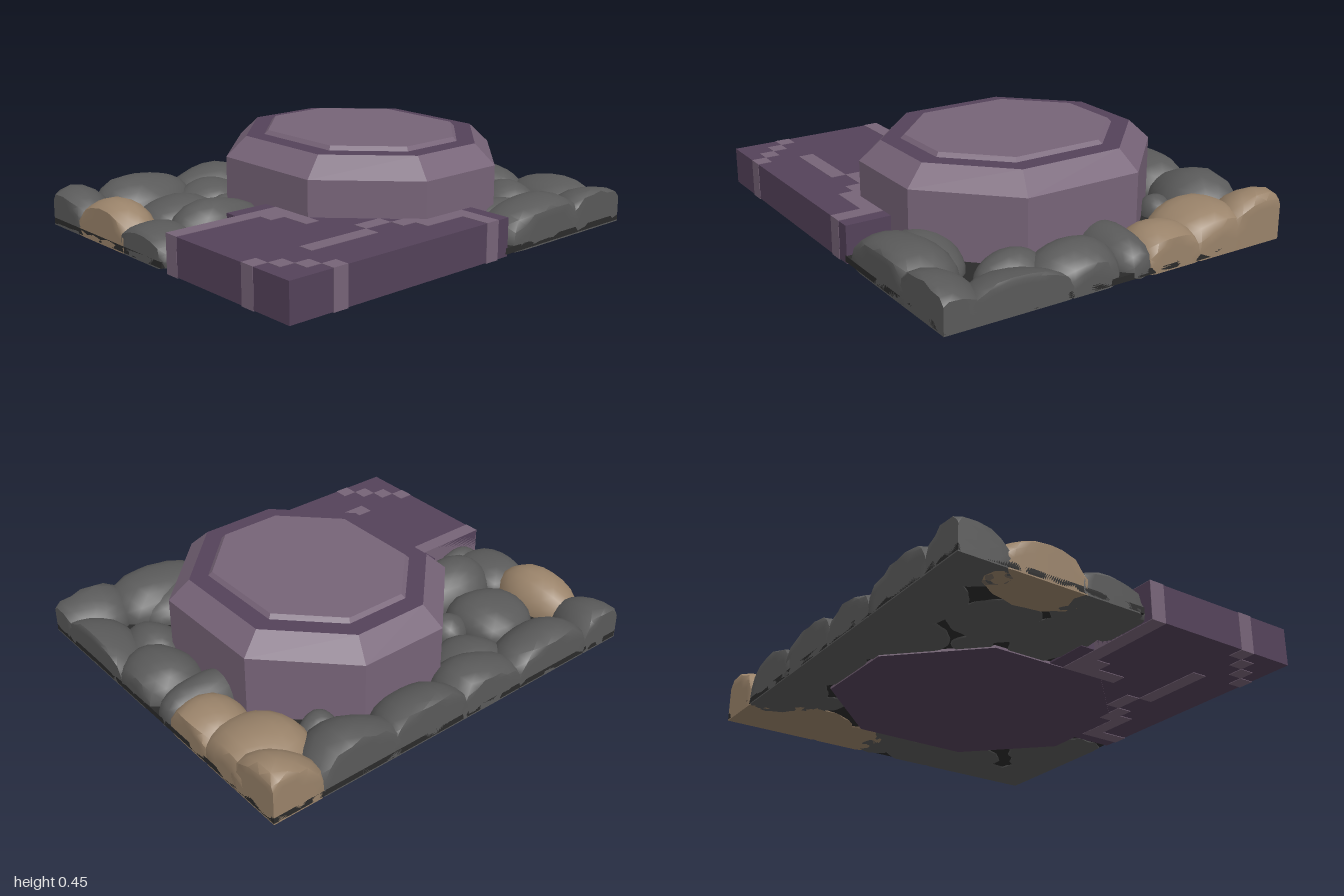
import * as THREE from 'three';
import { mergeVertices, toCreasedNormals } from 'three/addons/utils/BufferGeometryUtils.js';

const mat = (name, color) => Object.assign(new THREE.MeshStandardMaterial({ color }), { name });
const W = 0.855, D = 1;      // half footprint
const CZ = -0.145;           // pedestal centre z

// Octagon loop with half sizes hx, hz and corner cut c
function octagon([hx, hz, c, y]) {
  return [[hx, c - hz], [hx, hz - c], [hx - c, hz], [c - hx, hz],
    [-hx, hz - c], [-hx, c - hz], [c - hx, -hz], [hx - c, -hz]]
    .map(([x, z]) => [x, y, z + CZ]);
}

// Flat-faced band between two octagon loops
function band(lower, upper) {
  const a = octagon(lower), b = octagon(upper), p = [];
  for (let i = 0; i < 8; i++) {
    const j = (i + 1) % 8;
    p.push(...a[i], ...b[i], ...a[j], ...b[i], ...b[j], ...a[j]);
  }
  const g = new THREE.BufferGeometry();
  g.setAttribute('position', new THREE.Float32BufferAttribute(p, 3));
  g.computeVertexNormals();
  return g;
}

// Lumpy boulder, cut flat at the edges of the footprint and at the ground
function boulder(x, z, rx, rz, h, seed) {
  let g = new THREE.IcosahedronGeometry(1, 3);
  g.deleteAttribute('normal');
  g.deleteAttribute('uv');
  g = mergeVertices(g, 1e-4);
  const p = g.attributes.position, v = new THREE.Vector3(), base = 0.04;
  for (let i = 0; i < p.count; i++) {
    v.fromBufferAttribute(p, i);
    const lump = 1 + 0.05 * Math.sin(3 * v.x + seed * 1.7) + 0.05 * Math.sin(4 * v.z + seed * 2.3);
    p.setXYZ(i,
      THREE.MathUtils.clamp(x + v.x * rx * lump, -W, W),
      Math.max(0.006, base + v.y * (h - base) * lump),
      THREE.MathUtils.clamp(z + v.z * rz * lump, -D, D));
  }
  return toCreasedNormals(g, 0.7);
}

export function createModel() {
  const model = new THREE.Group();
  model.name = 'pedestalOnRocks';
  const light = mat('lightPurple', 0x776478);
  const dark = mat('darkPurple', 0x54425a);
  const grey = mat('greyRock', 0x5a5a5a);
  const tan = mat('tanRock', 0x9a836a);
  const soil = mat('darkGround', 0x2b2b2b);

  const add = (name, geometry, material, parent = model) => {
    const m = new THREE.Mesh(geometry, material);
    m.name = name;
    parent.add(m);
    return m;
  };
  const block = (name, x0, x1, y0, y1, z0, z1, material, parent) =>
    add(name, new THREE.BoxGeometry(x1 - x0, y1 - y0, z1 - z0), material, parent)
      .position.set((x0 + x1) / 2, (y0 + y1) / 2, (z0 + z1) / 2);

  // Octagonal pedestal
  const pedestal = new THREE.Group();
  pedestal.name = 'pedestal';
  model.add(pedestal);
  const foot = [0.64, 0.57, 0.355, 0], shoulder = [0.64, 0.57, 0.355, 0.34];
  const rim = [0.55, 0.48, 0.3, 0.43], panel = [0.465, 0.395, 0.24, 0.43];
  const top = [0.45, 0.38, 0.235, 0.448];
  add('pedestalUnderside', band([0, 0, 0, 0], foot), dark, pedestal);
  add('pedestalWall', band(foot, shoulder), light, pedestal);
  add('pedestalBevel', band(shoulder, rim), light, pedestal);
  add('pedestalRing', band(rim, panel), dark, pedestal);
  add('topPanelEdge', band(panel, top), light, pedestal);
  add('topPanel', band(top, [0, 0, 0, 0.448]), light, pedestal);

  // Low platform in the front left corner
  const platform = new THREE.Group();
  platform.name = 'platform';
  model.add(platform);
  const outline = new THREE.Shape([[0, 0.2], [0.25, -0.21], [W - 0.002, -0.21], [W - 0.002, 0.998],
    [0.07, 0.998], [0.07, 0.64], [0, 0.64]].map(([x, z]) => new THREE.Vector2(x, -z)));
  const slab = new THREE.ExtrudeGeometry(outline, { depth: 0.173, bevelEnabled: false });
  slab.rotateX(-Math.PI / 2).translate(0, 0.003, 0);
  add('platformSlab', slab, dark, platform);

  // Stepped light inlays running through the platform: x0, x1, z0, z1
  [
    [0.07, 0.143, 0.425, D], [0.143, 0.357, 0.425, 0.497], [0.143, 0.214, 0.497, 0.57],
    [0.643, W, -0.145, -0.073], [0.643, 0.714, -0.073, 0.14], [0.571, 0.643, 0.07, 0.212],
    [0.5, 0.571, 0.212, 0.355], [0.571, 0.643, 0.355, 0.712],
    [0.785, W, 0.712, 0.785], [0.714, 0.785, 0.785, 0.857],
    [0.643, 0.714, 0.857, 0.928], [0.571, 0.643, 0.928, D],
  ].forEach(([x0, x1, z0, z1]) => block('platformInlay', x0, x1, 0, 0.178, z0, z1, light, platform));

  // Dark ground between the rocks
  block('groundStrip', -W, 0.03, 0.012, 0.04, -D, D, soil);
  block('groundStripBack', 0.03, W, 0.012, 0.04, -D, -0.2, soil);

  // Boulders: x, z, x radius, z radius, height
  const rocks = new THREE.Group();
  rocks.name = 'rocks';
  model.add(rocks);
  const tanRocks = [
    [-0.77, -0.92, 0.23, 0.2, 0.22], [-0.52, -0.83, 0.23, 0.21, 0.21],
    [-0.27, -0.9, 0.16, 0.21, 0.18], [-0.45, 0.93, 0.235, 0.17, 0.195],
  ];
  const greyRocks = [
    [-0.08, -0.8, 0.13, 0.2, 0.17], [0.17, -0.86, 0.19, 0.2, 0.18], [0.5, -0.95, 0.25, 0.17, 0.17],
    [0.8, -0.86, 0.2, 0.22, 0.18], [0.4, -0.75, 0.16, 0.14, 0.15], [0.75, -0.5, 0.19, 0.28, 0.21],
    [0.6, -0.45, 0.14, 0.22, 0.17], [-0.78, -0.55, 0.22, 0.25, 0.2], [-0.78, -0.18, 0.2, 0.23, 0.2],
    [-0.55, -0.54, 0.07, 0.1, 0.13], [-0.77, 0.18, 0.2, 0.22, 0.18], [-0.77, 0.57, 0.21, 0.24, 0.19],
    [-0.6, 0.28, 0.15, 0.2, 0.15], [-0.42, 0.61, 0.19, 0.2, 0.17], [-0.13, 0.61, 0.17, 0.24, 0.21],
    [-0.77, 0.92, 0.21, 0.17, 0.18], [-0.13, 0.9, 0.19, 0.17, 0.16], [0.03, 0.84, 0.07, 0.14, 0.13],
    [-0.37, 0.38, 0.1, 0.1, 0.13],
  ];
  tanRocks.forEach((r, i) => add('tanBoulder', boulder(...r, i + 1), tan, rocks));
  greyRocks.forEach((r, i) => add('greyBoulder', boulder(...r, i + 5), grey, rocks));
  return model;
}
